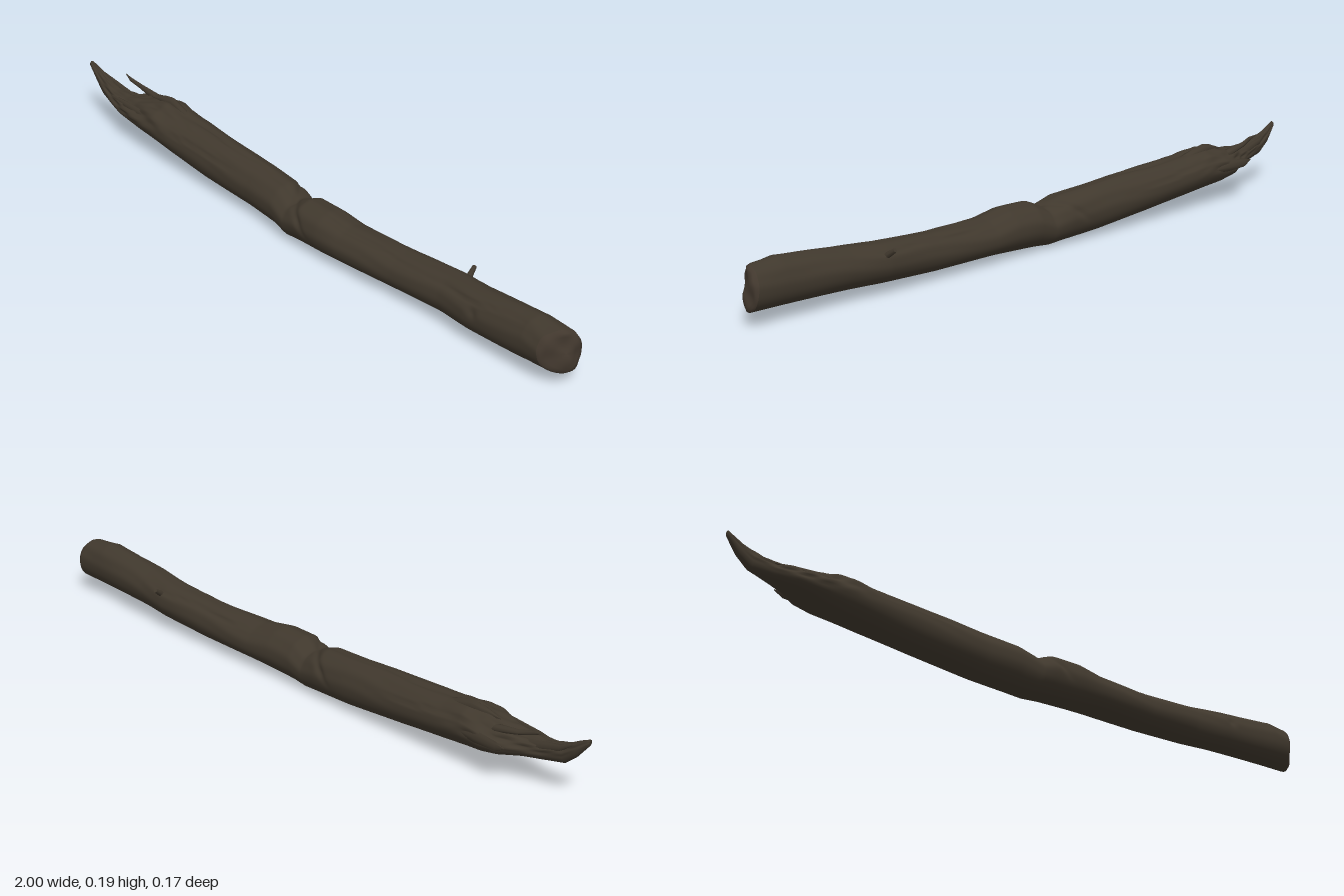
import * as THREE from 'three';

// Log outline: x, bottom y, top y, back z, front z
const SECTIONS = [
  [-1.0, 0.172, 0.19, -0.002, 0.012], [-0.965, 0.13, 0.172, -0.012, 0.016],
  [-0.93, 0.1, 0.155, -0.015, 0.022], [-0.87, 0.088, 0.14, -0.025, 0.035],
  [-0.81, 0.08, 0.14, -0.045, 0.05], [-0.75, 0.07, 0.15, -0.08, 0.056],
  [-0.7, 0.06, 0.165, -0.086, 0.06], [-0.64, 0.054, 0.175, -0.086, 0.064],
  [-0.56, 0.046, 0.165, -0.084, 0.066], [-0.4, 0.03, 0.157, -0.077, 0.067],
  [-0.2, 0.016, 0.146, -0.07, 0.064], [-0.08, 0.01, 0.138, -0.064, 0.072],
  [-0.02, 0.004, 0.115, -0.056, 0.08], [0.03, 0.008, 0.138, -0.056, 0.083],
  [0.12, 0.012, 0.14, -0.056, 0.084], [0.2, 0.017, 0.127, -0.056, 0.08],
  [0.4, 0.021, 0.131, -0.056, 0.066], [0.58, 0.03, 0.143, -0.06, 0.064],
  [0.68, 0.033, 0.15, -0.05, 0.074], [0.82, 0.038, 0.163, -0.045, 0.076],
  [0.9, 0.041, 0.17, -0.042, 0.076], [0.99, 0.044, 0.163, -0.04, 0.076],
];
const SIDES = 56;
const gauss = (d, w) => Math.exp(-((d / w) ** 2));

function sectionAt(x) {
  let i = 0;
  while (i < SECTIONS.length - 2 && SECTIONS[i + 1][0] < x) i++;
  const t = THREE.MathUtils.clamp((x - SECTIONS[i][0]) / (SECTIONS[i + 1][0] - SECTIONS[i][0]), 0, 1);
  return SECTIONS[i].map((v, k) => THREE.MathUtils.lerp(v, SECTIONS[i + 1][k], t));
}

// Lengthwise cracks: angle, start x, end x, drift
const CRACKS = [
  [1.0, -0.8, -0.1, 0.35], [1.75, -0.75, 0.0, -0.3], [0.45, -0.6, -0.25, 0.2],
  [1.3, -0.02, 0.55, -0.4], [0.7, 0.45, 0.95, 0.3], [2.2, 0.1, 0.7, 0.25], [2.5, -0.8, -0.3, 0.2],
];

// Surface relief: gentle on the underside, fibrous on top, torn at the broken end
function relief(a, x) {
  const up = THREE.MathUtils.smoothstep(Math.sin(a), -0.4, 0.5);
  const torn = 1 - THREE.MathUtils.smoothstep(x, -0.85, -0.5);
  let r = 0.02 * Math.sin(2 * a + 5 * x) + 0.012 * Math.sin(3 * a - 11 * x);
  r += up * 0.015 * Math.sin(9 * a + 7 * x + Math.sin(19 * x));
  r += up * torn * (0.09 * Math.sin(7 * a + 34 * x) + 0.06 * Math.sin(13 * a - 61 * x));
  for (const [angle, x0, x1, drift] of CRACKS) {
    if (x < x0 || x > x1) continue;
    const t = (x - x0) / (x1 - x0);
    const line = angle + drift * t + 0.06 * Math.sin(25 * x);
    r -= 0.09 * Math.sin(Math.PI * t) * gauss(a - line, 0.07);
  }
  // slanting break across the middle, and a knot hollow in front
  const slant = 0.06 * (a - 1.5);
  r -= 0.09 * up * gauss(x + 0.025 + slant, 0.014);
  r -= 0.1 * gauss(x - 0.71, 0.014) * gauss(a - 0.3, 0.2);
  return r;
}

function ringAt(x, scale = 1, push = 0) {
  const [, y0, y1, z0, z1] = sectionAt(x);
  const ring = [];
  for (let j = 0; j < SIDES; j++) {
    const a = -Math.PI / 2 + (j / SIDES) * Math.PI * 2;
    const k = scale * (1 + relief(a, x));
    const z = (z0 + z1) / 2 + k * Math.cos(a) * (z1 - z0) / 2;
    const y = (y0 + y1) / 2 + k * Math.sin(a) * (y1 - y0) / 2;
    // the sawn end slopes back toward the front and the top
    const end = THREE.MathUtils.smoothstep(x, 0.85, 0.99);
    const slope = end * (0.045 * THREE.MathUtils.smoothstep(z, 0, 0.08) + 0.15 * Math.max(0, y - 0.08));
    const lump = push ? 0.005 * Math.sin(70 * y + 2) * Math.sin(85 * z) : 0;
    ring.push([x + push + lump - slope, y, z]);
  }
  return ring;
}

// Skin over closed rings ordered along +x
function loft(rings) {
  const n = rings[0].length, index = [];
  for (let i = 0; i < rings.length - 1; i++) {
    for (let j = 0; j < n; j++) {
      const k = (j + 1) % n, a = i * n, b = a + n;
      index.push(a + j, b + j, a + k, b + j, b + k, a + k);
    }
  }
  const g = new THREE.BufferGeometry();
  g.setAttribute('position', new THREE.Float32BufferAttribute(rings.flat(2), 3));
  g.setIndex(index);
  g.computeVertexNormals();
  return g;
}

// Tapered splinter through points of x, y, z, half height, half depth
function splinter(points) {
  return loft(points.map(([x, y, z, h, d], i) => Array.from({ length: 8 }, (_, j) => {
    const a = (j / 8) * Math.PI * 2;
    const rough = 1 + 0.15 * Math.sin(j * 2.3 + i * 1.7);
    return [x, y + h * rough * Math.sin(a), z + d * rough * Math.cos(a)];
  })));
}

export function createModel() {
  const group = new THREE.Group();
  const bark = new THREE.MeshStandardMaterial({ color: 0x40382d });
  bark.name = 'dark bark';
  const wood = new THREE.MeshStandardMaterial({ color: 0x42382e });
  wood.name = 'weathered wood';
  const add = (name, geometry, material) => {
    const mesh = new THREE.Mesh(geometry, material);
    mesh.name = name;
    group.add(mesh);
    return mesh;
  };

  // Main trunk, closed to a point at the torn tip
  const rings = [ringAt(-1, 0)];
  for (let i = 0; i <= 280; i++) rings.push(ringAt(-1 + (i / 280) * 1.99));
  add('log', loft(rings), bark);

  // Lumpy broken face at the thick end
  add('endFace', loft([[1, 0], [0.93, 0.008], [0.75, 0.01], [0.5, 0.009], [0.25, 0.01], [0, 0.01]]
    .map(([s, p]) => ringAt(0.99, s, p))), wood);

  // Torn fibres around the splintered end
  const SPLINTERS = [
    [[-0.88, 0.176, -0.036, 0.001, 0.001], [-0.85, 0.168, -0.032, 0.006, 0.005],
      [-0.81, 0.158, -0.04, 0.007, 0.007], [-0.74, 0.145, -0.045, 0.012, 0.012], [-0.68, 0.14, -0.04, 0.001, 0.001]],
    [[-0.8, 0.122, -0.084, 0.001, 0.001], [-0.77, 0.118, -0.082, 0.013, 0.007],
      [-0.7, 0.118, -0.079, 0.016, 0.01], [-0.55, 0.115, -0.072, 0.001, 0.001]],
    [[-0.73, 0.16, -0.02, 0.001, 0.001], [-0.68, 0.168, -0.024, 0.012, 0.012],
      [-0.64, 0.172, -0.028, 0.014, 0.014], [-0.58, 0.158, -0.025, 0.012, 0.012], [-0.5, 0.145, -0.02, 0.001, 0.001]],
    [[-0.87, 0.13, 0.03, 0.001, 0.001], [-0.82, 0.128, 0.034, 0.01, 0.007],
      [-0.72, 0.13, 0.04, 0.012, 0.008], [-0.6, 0.13, 0.04, 0.001, 0.001]],
    [[-0.96, 0.165, -0.008, 0.001, 0.001], [-0.92, 0.145, -0.012, 0.01, 0.006],
      [-0.84, 0.125, -0.018, 0.014, 0.01], [-0.74, 0.12, -0.02, 0.001, 0.001]],
  ];
  SPLINTERS.forEach((points, i) => add('splinter' + (i + 1), splinter(points), bark));

  // Small twig stub on the back
  const stub = add('twigStub', new THREE.CylinderGeometry(0.006, 0.011, 0.055, 8), bark);
  stub.position.set(0.585, 0.12, -0.052);
  stub.rotation.set(-0.95, 0, 0.2);
  return group;
}
